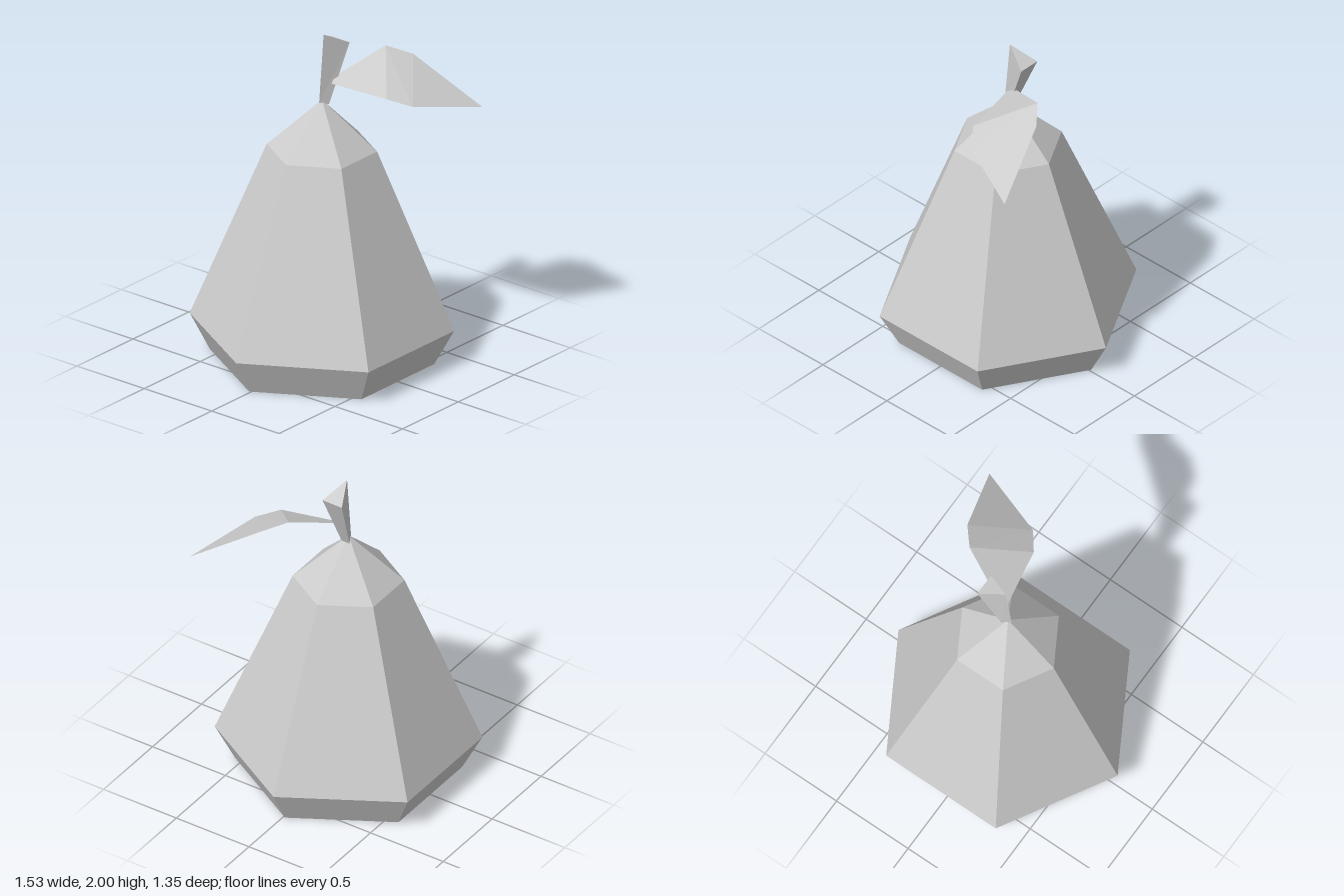
import * as THREE from 'three';

// Flat-faced geometry from a few corners and the triangles joining them
function facets(points, faces) {
  const geometry = new THREE.BufferGeometry();
  geometry.setAttribute('position', new THREE.Float32BufferAttribute(points.flat(), 3));
  geometry.setIndex(faces.flat());
  return flat(geometry);
}

function flat(geometry) {
  const result = geometry.toNonIndexed();
  result.computeVertexNormals();
  return result;
}

export function createModel() {
  const group = new THREE.Group();
  const grey = new THREE.MeshStandardMaterial({ name: 'plain grey', color: 0xcccccc, flatShading: true });
  const leafGrey = grey.clone();
  leafGrey.name = 'leaf grey';
  leafGrey.side = THREE.DoubleSide;

  const add = (name, geometry, material) => {
    const mesh = new THREE.Mesh(geometry, material);
    mesh.name = name;
    group.add(mesh);
    return mesh;
  };

  // Six-sided fruit, closed at the base and pointed at the top
  const profile = [[0, 0], [0.65, 0], [0.766, 0.215], [0.32, 1.3], [0, 1.6]]
    .map(([r, y]) => new THREE.Vector2(r, y));
  const body = add('fruitBody', flat(new THREE.LatheGeometry(profile, 6, Math.PI / 2)), grey);
  body.position.z = -0.012;

  // Three-sided stem widening towards a slanted top
  add('stem', facets([
    [-0.025, 1.59, -0.012], [0.03, 1.57, 0.016], [0.03, 1.57, -0.038],
    [0.015, 2, -0.012], [0.167, 1.92, 0.055], [0.167, 1.92, -0.078],
  ], [
    [0, 1, 4], [0, 4, 3], [1, 2, 5], [1, 5, 4], [2, 0, 3], [2, 3, 5], [3, 4, 5], [0, 2, 1],
  ]), grey);

  // Folded leaf: pairs of edge points from the stalk out to the tip
  add('leaf', facets([
    [0.035, 1.7, 0.03], [0.085, 1.727, 0.015],
    [0.1, 1.68, 0.385], [0.38, 1.855, 0.145],
    [0.19, 1.635, 0.505], [0.48, 1.803, 0.265],
    [0.612, 1.54, 0.67],
  ], [
    [0, 2, 3], [0, 3, 1], [2, 4, 3], [4, 5, 3], [4, 6, 5],
  ]), leafGrey);

  return group;
}
